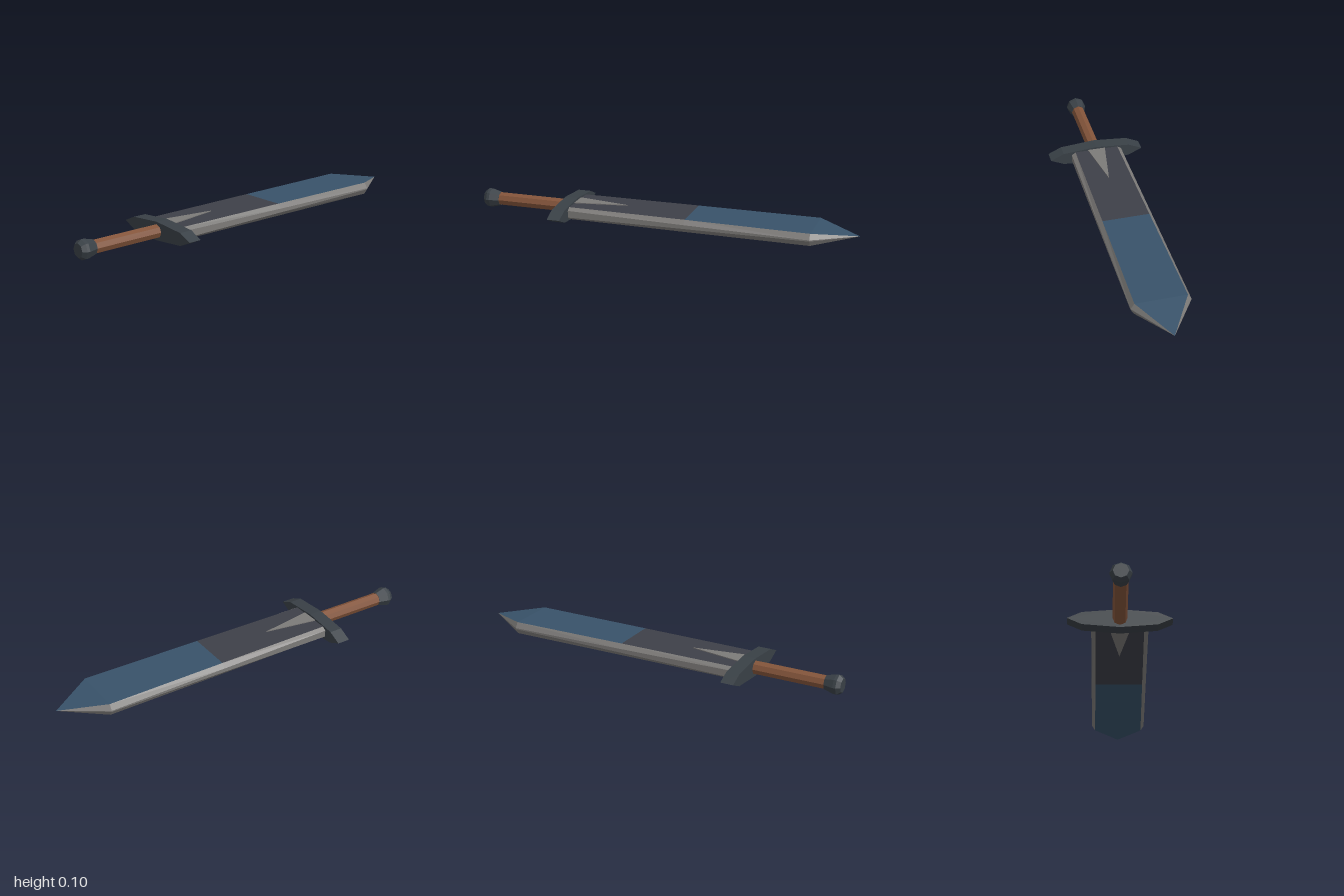
import * as THREE from 'three';

const CY = 0.053; // height of the sword's axis

export function createModel() {
  const mat = (name, color, opts = {}) => {
    const m = new THREE.MeshStandardMaterial({ color, flatShading: true, ...opts });
    m.name = name;
    return m;
  };
  const steel = mat('edge steel', 0x7c7a78);
  const dark = mat('dark steel', 0x3e4048);
  const blue = mat('blue steel', 0x385269);
  const iron = mat('fitting iron', 0x394046);
  const wood = mat('brown grip', 0x83543a);

  const sword = new THREE.Group();
  sword.name = 'sword';
  const axis = new THREE.Group();
  axis.name = 'swordParts';
  axis.position.y = CY;
  sword.add(axis);
  const add = (name, geometry, material) => {
    const mesh = new THREE.Mesh(geometry, material);
    mesh.name = name;
    axis.add(mesh);
  };

  // Eight-sided turned parts along z, profile given as [radius, z] from back to front
  const turned = (profile) =>
    new THREE.LatheGeometry(profile.map(([r, z]) => new THREE.Vector2(r, z)), 8).rotateX(Math.PI / 2);
  add('grip', turned([[0.035, 0.48], [0.035, 0.93]]), wood);
  add('pommel', turned([[0, 0.915], [0.037, 0.915], [0.051, 0.965], [0.051, 0.98], [0.036, 1], [0, 1]]), iron);

  // Crossguard: tapered outline extruded along z
  const outline = [[0.25, 0], [0.18, 0.032], [0, 0.047], [-0.18, 0.032],
    [-0.25, 0], [-0.18, -0.032], [0, -0.047], [0.18, -0.032]];
  const guardShape = new THREE.Shape(outline.map(([x, y]) => new THREE.Vector2(x, y)));
  add('crossguard', new THREE.ExtrudeGeometry(guardShape, { depth: 0.068, bevelEnabled: false })
    .translate(0, 0, 0.476), iron);

  // Blade sections: z, flat half width, flat half height, edge half width, edge half height
  const section = ([z, a, h, b, e]) => [[a, h], [-a, h], [-b, e], [-b, -e], [-a, -h], [a, -h], [b, -e], [b, e]]
    .map(([x, y]) => [x, y, z]);
  const sections = [
    [0.48, 0.115, 0.032, 0.136, 0.018],
    [-0.145, 0.121, 0.032, 0.141, 0.01],
    [-0.78, 0.128, 0.031, 0.146, 0.003],
    [-1, 0, 0, 0, 0],
  ].map(section);

  // Collect the chosen sides between neighbouring sections
  const strip = (spans, sides) => {
    const pos = [];
    for (const i of spans) {
      for (const s of sides) {
        const t = (s + 1) % 8;
        const [p, q] = [sections[i], sections[i + 1]];
        pos.push(...p[s], ...q[s], ...p[t]);
        if (i < 2) pos.push(...q[s], ...q[t], ...p[t]);
      }
    }
    const g = new THREE.BufferGeometry();
    g.setAttribute('position', new THREE.Float32BufferAttribute(pos, 3));
    g.computeVertexNormals();
    return g;
  };
  add('bladeEdges', strip([0, 1, 2], [1, 2, 3, 5, 6, 7]), steel);
  add('bladeLowerFlats', strip([0], [0, 4]), dark);
  add('bladeUpperFlats', strip([1, 2], [0, 4]), blue);

  // Pointed inlay on both flats next to the guard
  const inlay = new THREE.Shape([[-0.047, -0.48], [0.047, -0.48], [0, -0.2]]
    .map(([x, y]) => new THREE.Vector2(x, y)));
  for (const side of [1, -1]) {
    const g = new THREE.ExtrudeGeometry(inlay, { depth: 0.006, bevelEnabled: false })
      .rotateX(-Math.PI / 2).translate(0, side > 0 ? 0.03 : -0.036, 0);
    add(side > 0 ? 'topInlay' : 'bottomInlay', g, steel);
  }
  return sword;
}
